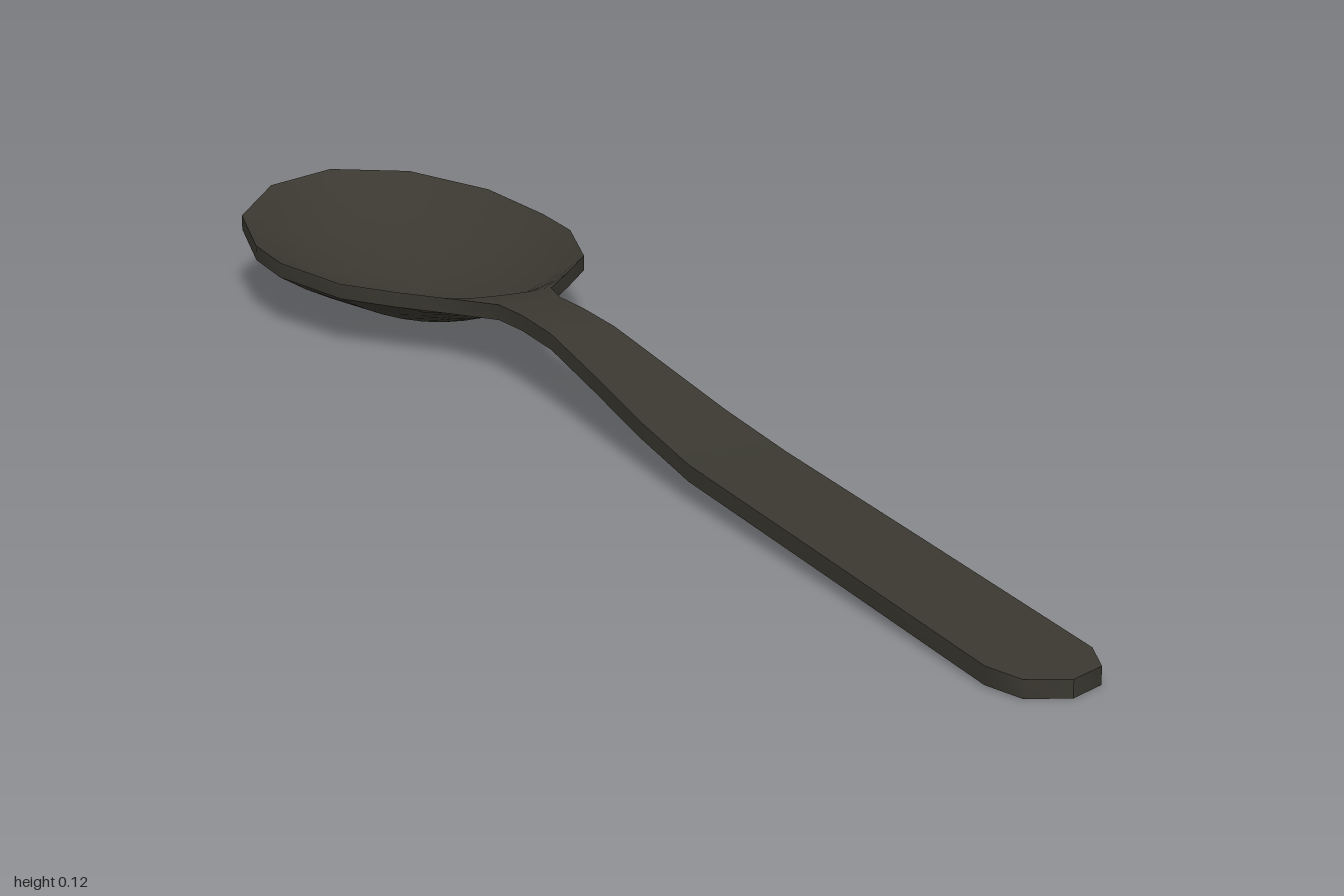
import * as THREE from 'three';
import { mergeVertices, mergeGeometries } from 'three/addons/utils/BufferGeometryUtils.js';

const THICK = 0.02;
const COLUMNS = 12;

// Cross-sections along the length: [z, half width, rim height, hollow depth]
const bowlSections = [
  [-1, 0, 0.123, 0],
  [-0.96, 0.105, 0.118, 0.02],
  [-0.86, 0.185, 0.104, 0.052],
  [-0.73, 0.212, 0.093, 0.063],
  [-0.64, 0.212, 0.09, 0.066],
  [-0.515, 0.175, 0.086, 0.05],
  [-0.45, 0.122, 0.084, 0.028],
  [-0.385, 0.068, 0.084, 0.002],
  [-0.3, 0.043, 0.094, 0],
  [-0.23, 0.042, 0.097, 0],
];
const handleSections = [
  [-0.23, 0.042, 0.097, 0],
  [-0.14, 0.043, 0.095, 0],
  [0, 0.049, 0.078, 0],
  [0.14, 0.056, 0.06, 0],
  [0.28, 0.062, 0.047, 0],
  [0.6, 0.062, 0.036, 0],
  [0.935, 0.062, 0.024, 0],
  [0.98, 0.045, 0.022, 0],
  [1, 0, 0.022, 0],
];

// Smooth sheet through a grid of points, one row per cross-section
function sheet(rows) {
  const n = rows[0].length;
  const index = [];
  for (let i = 0; i < rows.length - 1; i++) {
    for (let j = 0; j < n - 1; j++) {
      const a = i * n + j, b = a + n;
      index.push(a, b, a + 1, a + 1, b, b + 1);
    }
  }
  const geometry = new THREE.BufferGeometry();
  geometry.setAttribute('position', new THREE.Float32BufferAttribute(rows.flat(2), 3));
  geometry.setIndex(index);
  const merged = mergeVertices(geometry, 1e-5);
  merged.computeVertexNormals();
  return merged;
}

// Curved slab with crisp edges: upper face, lower face and two side walls
function slab(sections) {
  const across = Array.from({ length: COLUMNS + 1 }, (_, j) => (2 * j) / COLUMNS - 1);
  const point = ([z, w, y, depth], t, drop) => [w * t, y - depth * (1 - t * t) - drop, z];
  const face = (ts, drop) => sheet(sections.map((s) => ts.map((t) => point(s, t, drop))));
  const wall = (t, drops) => sheet(sections.map((s) => drops.map((d) => point(s, t, d))));
  return mergeGeometries([
    face(across, 0),
    face([...across].reverse(), THICK),
    wall(1, [0, THICK]),
    wall(-1, [THICK, 0]),
  ]);
}

export function createModel() {
  const group = new THREE.Group();
  group.name = 'spoon';
  const darkMetal = new THREE.MeshStandardMaterial({ color: 0x3a3830 });
  darkMetal.name = 'dark metal';

  const parts = { bowl: bowlSections, handle: handleSections };
  for (const [name, sections] of Object.entries(parts)) {
    const mesh = new THREE.Mesh(slab(sections), darkMetal);
    mesh.name = name;
    group.add(mesh);
  }
  // Rest the lowest point on the ground
  group.position.y = -new THREE.Box3().setFromObject(group).min.y;
  return group;
}
